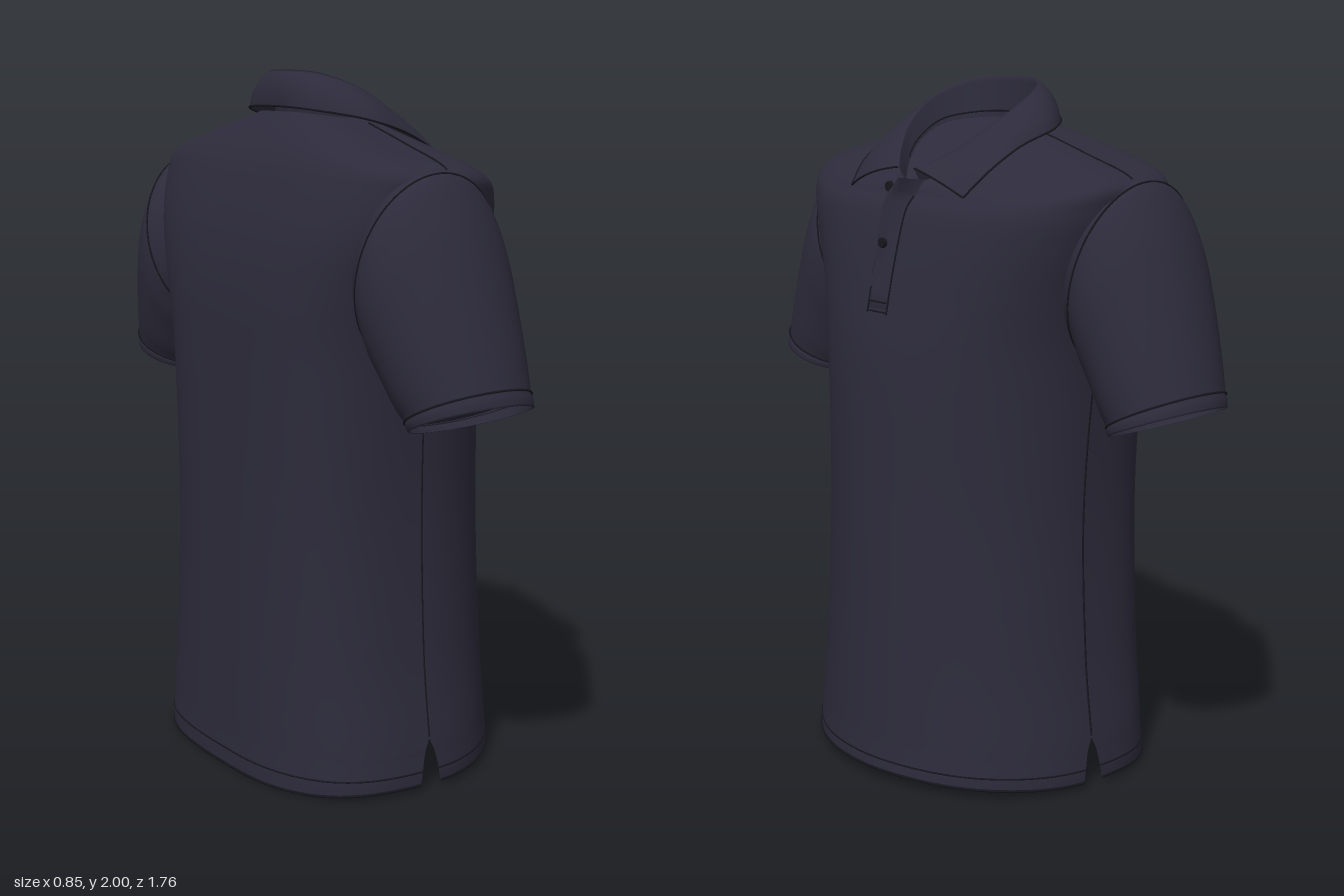
import * as THREE from 'three';
import { mergeVertices } from 'three/addons/utils/BufferGeometryUtils.js';

const V = (x, y, z) => new THREE.Vector3(x, y, z);
const { lerp } = THREE.MathUtils;

// Smooth interpolation through table rows; t runs from 0 to rows.length - 1
function sample(rows, t) {
  const last = rows.length - 1;
  const i = Math.min(Math.floor(t), last - 1), f = t - i;
  const r = k => rows[Math.max(0, Math.min(last, k))];
  return rows[0].map((_, k) => {
    const a = r(i - 1)[k], b = r(i)[k], c = r(i + 1)[k], d = r(i + 2)[k];
    return b + 0.5 * f * (c - a + f * (2 * a - 5 * b + 4 * c - d + f * (3 * (b - c) + d - a)));
  });
}

// Surface from fn(u, v), with u and v in 0..1
function grid(fn, nu, nv, flip) {
  const pos = [], idx = [];
  for (let j = 0; j <= nv; j++)
    for (let i = 0; i <= nu; i++) pos.push(...fn(i / nu, j / nv).toArray());
  for (let j = 0; j < nv; j++)
    for (let i = 0; i < nu; i++) {
      const a = j * (nu + 1) + i, b = a + 1, c = a + nu + 1, d = c + 1;
      idx.push(...(flip ? [a, c, b, b, c, d] : [a, b, c, b, d, c]));
    }
  let g = new THREE.BufferGeometry();
  g.setAttribute('position', new THREE.Float32BufferAttribute(pos, 3));
  g.setIndex(idx);
  g = mergeVertices(g, 1e-5);
  g.computeVertexNormals();
  return g;
}

// Body rows: y at centre, y at side, half width, x at centre, x at side seam, roundness
const FRONT = [
  [0.03, 0.015, 0.52, 0.42, -0.03, 1], [0.06, 0.05, 0.52, 0.418, -0.03, 1],
  [0.1, 0.1, 0.515, 0.415, -0.03, 1], [0.15, 0.15, 0.51, 0.412, -0.03, 1],
  [0.4, 0.4, 0.48, 0.402, -0.03, 1], [0.8, 0.8, 0.465, 0.385, -0.03, 1],
  [1.2, 1.2, 0.49, 0.36, -0.04, 0.95], [1.4, 1.4, 0.53, 0.325, -0.05, 0.85],
  [1.55, 1.55, 0.58, 0.29, -0.06, 0.75], [1.64, 1.67, 0.615, 0.262, -0.06, 0.72],
  [1.68, 1.745, 0.605, 0.232, -0.06, 0.74], [1.70, 1.805, 0.42, 0.222, -0.06, 0.8],
  [1.72, 1.87, 0.19, 0.21, -0.06, 1],
];
// Back rows replace y at centre, x at centre and roundness
const BACK_MID = [[0, -0.42, 0.7], [0.045, -0.42, 0.7], [0.1, -0.418, 0.7], [0.15, -0.417, 0.7],
  [0.4, -0.412, 0.68], [0.8, -0.408, 0.66], [1.2, -0.405, 0.65], [1.4, -0.398, 0.62],
  [1.56, -0.373, 0.58], [1.7, -0.33, 0.57], [1.775, -0.295, 0.6], [1.835, -0.25, 0.7],
  [1.885, -0.205, 0.8]];
const BACK = FRONT.map((r, i) => {
  const [y, x, e] = BACK_MID[i];
  return [y, r[1], r[2], x, r[4], e];
});
const TOP = FRONT.length - 1;

// Point on the front (dir 1) or back (dir -1) panel; u -1..1 from right side to left side
function body(dir, u, t) {
  const [ym, ys, w, xm, xs, e] = sample(dir > 0 ? FRONT : BACK, t);
  const gap = 0.036 * Math.sqrt(Math.max(0, 1 - ys / 0.135));   // side vent
  const a = u * Math.acos(Math.pow(gap / Math.abs(xm - xs), 1 / e));
  const s = Math.abs(Math.sin(a)), c = Math.max(0, Math.cos(a));
  const y = ym + (ys - ym) * s ** 3, z = Math.sign(a) * w * s ** e;
  const fold = dir * 0.006 * Math.sin(13 * z + 3 * y) * c * s * (y < 1.4 ? 1 : 0.3);
  return V(xs + (xm - xs) * c ** e + fold, y, z);
}

// Sleeve rows: outer z, y, inner z, y, x min, x max
const SLEEVE = [
  [0.54, 1.735, 0.44, 1.26, -0.28, 0.09], [0.632, 1.742, 0.495, 1.225, -0.32, 0.125],
  [0.705, 1.64, 0.52, 1.18, -0.322, 0.13], [0.765, 1.5, 0.545, 1.14, -0.305, 0.122],
  [0.825, 1.33, 0.575, 1.09, -0.28, 0.112], [0.865, 1.205, 0.592, 1.07, -0.258, 0.102],
  [0.876, 1.16, 0.602, 1.052, -0.25, 0.1],
];
function sleeve(side, u, t, grow = 0) {
  const [oz, oy, iz, iy, x0, x1] = sample(SLEEVE, t);
  const a = u * 2 * Math.PI, k = Math.cos(a) * (1 + grow) / 2;
  return V((x0 + x1) / 2 + Math.sin(a) * (1 + grow) * (x1 - x0) / 2,
    (oy + iy) / 2 + k * (oy - iy), side * ((oz + iz) / 2 + k * (oz - iz)));
}

// Collar curves for the left half, from back centre to front, mirrored to the right
function collarCurve(half) {
  const pts = half.map(p => V(...p));
  const right = pts.slice(1).reverse().map(p => V(p.x, p.y, -p.z));
  return new THREE.CatmullRomCurve3([...right, ...pts], false, 'centripetal');
}
const STAND = collarCurve([[-0.17, 1.88, 0], [-0.135, 1.875, 0.12], [-0.05, 1.86, 0.17],
  [0.06, 1.81, 0.15], [0.14, 1.755, 0.1], [0.205, 1.715, 0.03]]);
const FOLD = collarCurve([[-0.18, 2, 0], [-0.14, 1.99, 0.14], [-0.04, 1.945, 0.195],
  [0.07, 1.875, 0.175], [0.155, 1.805, 0.115], [0.228, 1.755, 0.035]]);
const FALL = collarCurve([[-0.217, 1.9, 0], [-0.195, 1.893, 0.165], [-0.08, 1.866, 0.28],
  [0.06, 1.82, 0.287], [0.165, 1.757, 0.277], [0.232, 1.69, 0.25]]);
function collar(u, v) {
  const s = STAND.getPoint(u), f = FOLD.getPoint(u), o = FALL.getPoint(u);
  if (v < 0.4) return s.lerp(f, v / 0.4);
  const k = (v - 0.4) / 0.6, bulge = 0.05 * k * (1 - k);
  const dir = V(f.x + 0.02, 0, f.z).normalize();
  return f.lerp(o, k).addScaledVector(dir, bulge).add(V(0, bulge * 0.8, 0));
}

export function createModel() {
  const shirt = new THREE.Group();
  shirt.name = 'poloShirt';
  const cloth = new THREE.MeshStandardMaterial({ color: 0x2d2b3b, side: THREE.DoubleSide });
  cloth.name = 'navy cloth';
  const thread = new THREE.MeshStandardMaterial({ color: 0x16161d });
  thread.name = 'dark thread';
  const add = (name, geo, mat = cloth) => {
    const m = new THREE.Mesh(geo, mat);
    m.name = name;
    shirt.add(m);
    return m;
  };
  const seam = (name, fn, n = 32, r = 0.003) => {
    const pts = Array.from({ length: n + 1 }, (_, i) => fn(i / n));
    add(name, new THREE.TubeGeometry(new THREE.CatmullRomCurve3(pts), n * 2, r, 5), thread);
  };

  // Front and back panels with hem stitching
  for (const [dir, label] of [[1, 'front'], [-1, 'back']]) {
    add(label + 'Panel', grid((u, v) => body(dir, u * 2 - 1, v * TOP), 64, 84, dir > 0));
    seam(label + 'HemStitch', u => body(dir, u * 2 - 1, 1.1), 48, 0.0025);
    seam(label + 'HemEdge', u => body(dir, u * 2 - 1, 0.08), 48, 0.004);
  }

  // Linings that close the body above the vents and inside the neckline
  add('hemLining', grid((u, v) => body(-1, u * 2 - 1, 2.95).lerp(body(1, u * 2 - 1, 2.95), v), 48, 8));
  add('neckLining', grid((u, v) => {
    const p = STAND.getPoint(0.5 + v / 2), k = u * 2 - 1;
    return V(p.x, p.y - 0.04 * (1 - k * k) * Math.sin(v * Math.PI), p.z * k);
  }, 16, 24));

  for (const side of [1, -1]) {
    const label = side > 0 ? 'left' : 'right';
    // Sleeve, cuff band, lining and their seams
    add(label + 'Sleeve', grid((u, v) => sleeve(side, u, v * 6), 48, 40, side > 0));
    add(label + 'Cuff', grid((u, v) => sleeve(side, u, lerp(5.05, 6, Math.min(1, v * 1.25)),
      v === 0 || v === 1 ? -0.01 : 0.022), 48, 5, side > 0));
    add(label + 'SleeveLining', grid((u, v) => sleeve(side, u, 4.9, v - 1), 48, 4, side > 0));
    seam(label + 'CuffStitch', u => sleeve(side, u, 5.05, 0.012), 40);
    seam(label + 'ArmholeSeam', u => sleeve(side, u, 1.02, 0.002), 40);
    // Side and shoulder seams
    seam(label + 'SideSeam', v => body(1, side, lerp(3, 6.1, v)));
    seam(label + 'ShoulderSeam', v => body(1, side, lerp(10, TOP - 0.3, v)).add(V(0, 0.001, 0)));
  }

  // Folded collar with an edge line
  add('collar', grid(collar, 80, 20, true));
  seam('collarEdge', u => collar(u, 1), 60);
  seam('collarStandSeam', u => collar(0.12 + 0.76 * u, 0.06), 40, 0.0025);
  for (const side of [0, 1])
    seam(side ? 'leftCollarFront' : 'rightCollarFront', v => collar(side, lerp(0.4, 1, v)), 12);

  // Placket strip with edges turned in, and the loose flap pulled out at its open edge
  const chest = (z, t, out) => {
    const [, , w, , , e] = sample(FRONT, t);
    const a = Math.asin((Math.abs(z) / w) ** (1 / e));
    return body(1, Math.sign(z) * a / (Math.PI / 2), t).add(V(out, 0, 0));
  };
  add('placket', grid((u, v) => chest(lerp(-0.05, 0.045, u), lerp(6.72, TOP, v),
    u === 0 || u === 1 || v === 0 ? -0.006 : 0.008), 12, 30, true));
  add('placketFlap', grid((u, v) => {
    const t = lerp(7.15, TOP, v), p = chest(-0.05, t, -0.006);
    const x = Math.max(p.x + 0.018, lerp(0.322, 0.285, v));
    return V(lerp(p.x, x, Math.sin(u * Math.PI / 2)), p.y + 0.012 * u * v, lerp(-0.05, lerp(0.04, -0.035, v), u));
  }, 8, 24, true));
  for (const z of [-0.05, 0.045])
    seam('placketStitch', v => chest(z * 0.9, lerp(6.72, z < 0 ? 10 : 8, v), 0.007), 20, 0.0025);
  for (const t of [6.76, 6.92])
    seam('placketBoxStitch', u => chest(lerp(-0.045, 0.04, u), t, 0.009), 6, 0.0025);

  // Buttons
  for (const [x, y, z] of [[0.247, 1.7, 0.055], [0.312, 1.55, 0.005]]) {
    const b = add('button', new THREE.CylinderGeometry(0.014, 0.016, 0.01, 20), thread);
    b.rotation.z = -Math.PI / 2;
    b.position.set(x, y, z);
  }
  return shirt;
}
